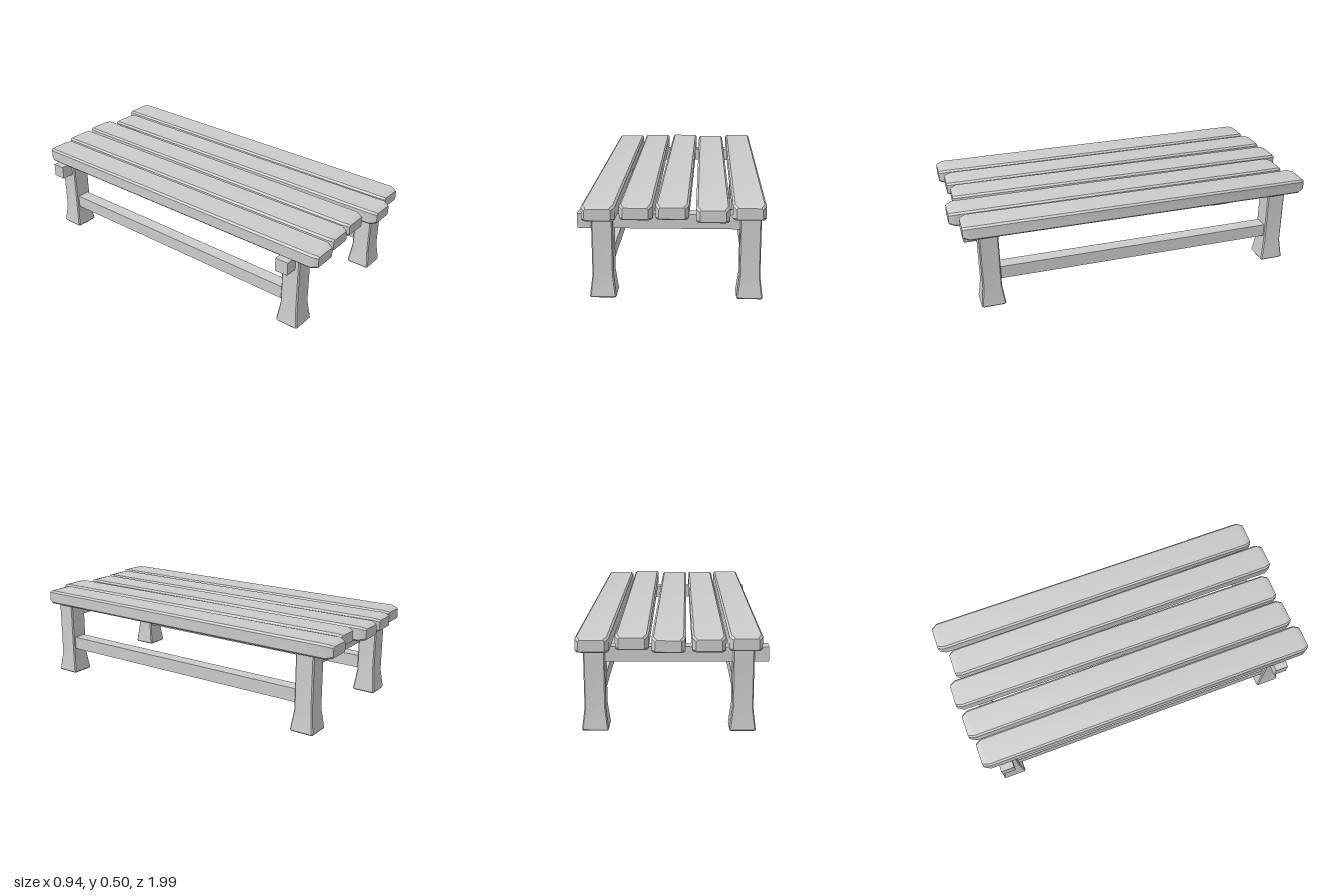
import * as THREE from 'three';
import { toCreasedNormals } from 'three/addons/utils/BufferGeometryUtils.js';

const material = new THREE.MeshStandardMaterial({ color: 0xcccccc });

// Solid along y through bevelled rectangles; each ring is [y, width, depth, bevel]
function loft(rings) {
  const pos = [], index = [], n = 8;
  for (const [y, w, d, c] of rings) {
    const a = w / 2, b = d / 2;
    for (const [x, z] of [
      [a, -b + c], [a, b - c], [a - c, b], [-a + c, b],
      [-a, b - c], [-a, -b + c], [-a + c, -b], [a - c, -b],
    ]) pos.push(x, y, z);
  }
  for (let i = 0; i < rings.length - 1; i++) {
    for (let j = 0; j < n; j++) {
      const k = (j + 1) % n;
      const a = i * n + j, b = i * n + k, c = a + n, d = b + n;
      index.push(a, c, b, b, c, d);
    }
  }
  const top = (rings.length - 1) * n;
  for (let j = 1; j < n - 1; j++) {
    index.push(0, j, j + 1, top, top + j + 1, top + j);
  }
  const geometry = new THREE.BufferGeometry();
  geometry.setAttribute('position', new THREE.Float32BufferAttribute(pos, 3));
  geometry.setIndex(index);
  return toCreasedNormals(geometry, 0.5);
}

function add(group, name, geometry, x, y, z) {
  const mesh = new THREE.Mesh(geometry, material);
  mesh.name = name;
  mesh.position.set(x, y, z);
  group.add(mesh);
  return mesh;
}

export function createModel() {
  const model = new THREE.Group();
  model.name = 'slattedTable';

  // Top planks, slightly uneven in placement, with narrowed worn ends
  const half = 0.971;
  const end = [[half, 0.125, 0.056, 0.006], [half - 0.007, 0.136, 0.066, 0.01], [half - 0.035, 0.163, 0.08, 0.01]];
  const plankGeometry = loft([
    ...end.map(([y, ...rest]) => [-y, ...rest]),
    ...end.slice().reverse(),
  ]).rotateX(Math.PI / 2);
  const planks = [
    [-0.353, 0.009, 0],
    [-0.174, -0.017, 0],
    [0.01, -0.029, -0.0095],
    [0.197, 0.02, 0],
    [0.379, -0.029, -0.0055],
  ];
  planks.forEach(([x, z, yaw], i) => {
    add(model, `plank${i + 1}`, plankGeometry, x, 0.459, z).rotation.y = yaw;
  });

  // Legs with flared feet
  const legGeometry = loft([
    [0, 0.124, 0.124, 0.005],
    [0.006, 0.133, 0.132, 0.006],
    [0.115, 0.106, 0.103, 0.006],
    [0.43, 0.106, 0.103, 0.006],
  ]);
  const sides = [['right', -0.347, 0.164], ['left', 0.384, 0.185]];
  const rows = [['front', 0.812, 0.803], ['back', -0.839, -0.845]];
  for (const [side, x] of sides) {
    for (const [row, z] of rows) add(model, `${row}${side}Leg`, legGeometry, x, 0, z);
  }

  // Long stretchers between the front and back legs
  for (const [side, x, y] of sides) {
    add(model, `${side}Stretcher`, new THREE.BoxGeometry(0.073, 0.072, 1.62), x, y, -0.014);
  }

  // Cross bars under the planks, poking out past the right legs
  for (const [row, , z] of rows) {
    add(model, `${row}CrossBar`, new THREE.BoxGeometry(0.85, 0.074, 0.074), -0.046, 0.39, z);
  }
  return model;
}
